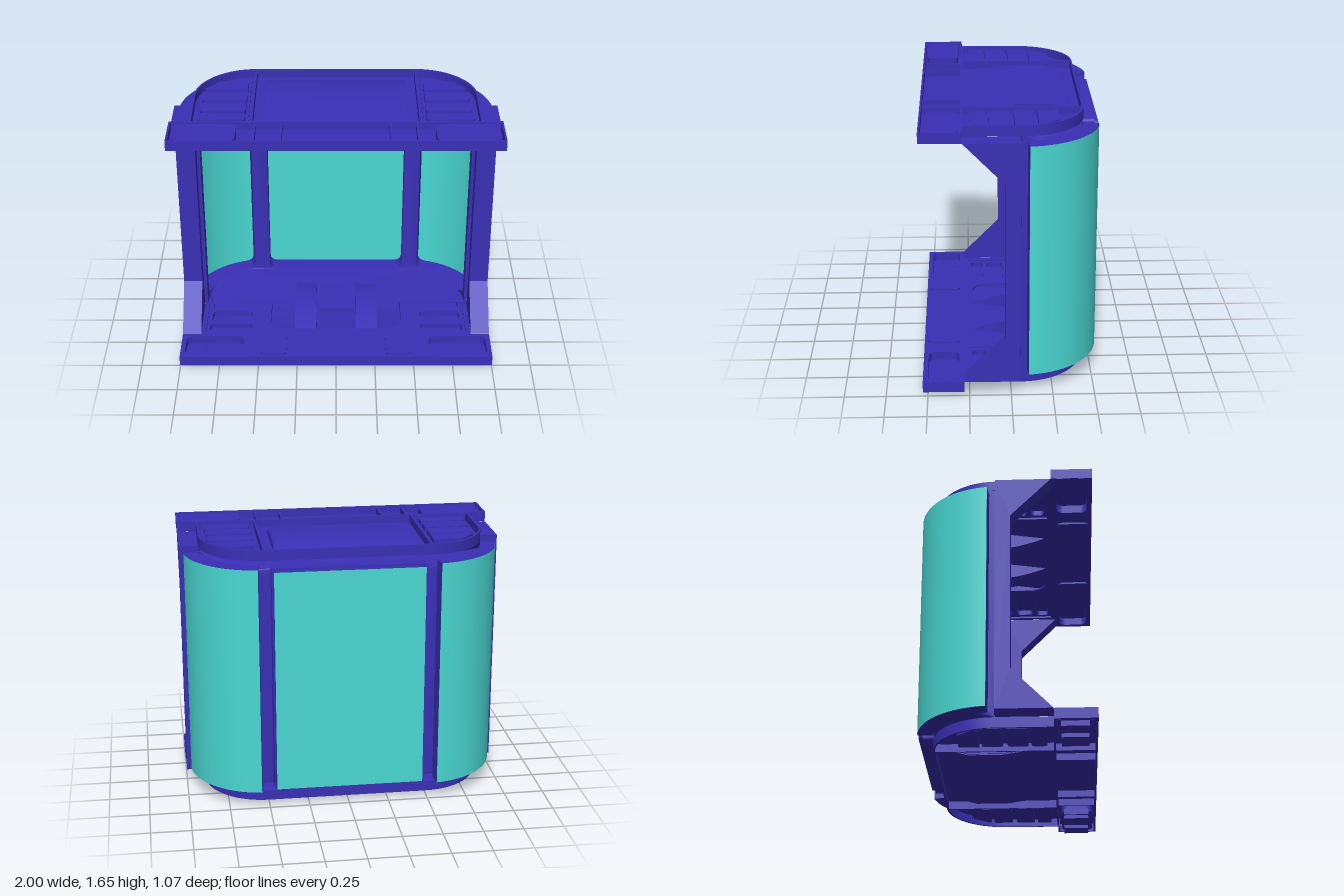
import * as THREE from 'three';
import { toCreasedNormals } from 'three/addons/utils/BufferGeometryUtils.js';

const blue = new THREE.MeshStandardMaterial({ color: 0x3a2fb5, side: THREE.DoubleSide });
const teal = new THREE.MeshStandardMaterial({ color: 0x4ad8d2, side: THREE.DoubleSide });
const R = 0.38, CX = 0.5, CZ = -0.06; // corner radius and centre of the wall path

function add(group, name, geo, mat = blue) {
  const mesh = new THREE.Mesh(geo, mat);
  mesh.name = name;
  group.add(mesh);
  return mesh;
}

function box(group, name, x0, x1, y0, y1, z0, z1) {
  const geo = new THREE.BoxGeometry(Math.abs(x1 - x0), y1 - y0, Math.abs(z1 - z0));
  geo.translate((x0 + x1) / 2, (y0 + y1) / 2, (z0 + z1) / 2);
  return add(group, name, geo);
}

// Rounded rectangle as points, long edges split so that it can be bent
function roundRect(x0, x1, y0, y1, r, n = 1) {
  const pts = [];
  const corners = [[x1 - r, y0 + r, -1], [x1 - r, y1 - r, 0], [x0 + r, y1 - r, 1], [x0 + r, y0 + r, 2]];
  corners.forEach(([cx, cy, q], k) => {
    const steps = r > 0 ? 4 : 0;
    for (let i = 0; i <= steps; i++) {
      const a = (q + (steps ? i / steps : 0)) * Math.PI / 2;
      pts.push([cx + r * Math.cos(a), cy + r * Math.sin(a)]);
    }
    if (k === 1 || k === 3) {
      const y = k === 1 ? y1 : y0, from = k === 1 ? x1 - r : x0 + r, to = k === 1 ? x0 + r : x1 - r;
      for (let i = 1; i < n; i++) pts.push([from + (to - from) * i / n, y]);
    }
  });
  return pts;
}

function extrude(points, holes, depth) {
  const shape = new THREE.Shape(points.map(p => new THREE.Vector2(...p)));
  shape.holes = holes.map(h => new THREE.Path(h.map(p => new THREE.Vector2(...p))));
  return new THREE.ExtrudeGeometry(shape, { depth, bevelEnabled: false });
}

// Horizontal slab from (x, z) points
function slab(points, holes, y0, y1) {
  const flip = list => list.map(([x, z]) => [x, -z]);
  const geo = extrude(flip(points), holes.map(flip), y1 - y0);
  geo.rotateX(-Math.PI / 2).translate(0, y0, 0);
  return toCreasedNormals(geo, 0.5);
}

// Side profile from (z, y) points, stretched from x0 to x1
function profile(points, x0, x1) {
  const geo = extrude(points.map(([z, y]) => [-z, y]), [], x1 - x0);
  geo.rotateY(Math.PI / 2).translate(x0, 0, 0);
  return toCreasedNormals(geo, 0.5);
}

// Wraps a flat panel (x along the wall, -z outward) round the back corners
function bend(geo) {
  const p = geo.attributes.position;
  for (let i = 0; i < p.count; i++) {
    const s = p.getX(i), d = -p.getZ(i), a = Math.max(0, Math.abs(s) - CX) / R;
    const x = a > 0 ? Math.sign(s) * (CX + (R + d) * Math.sin(a)) : s;
    p.setXYZ(i, x, p.getY(i), CZ - (R + d) * Math.cos(a));
  }
  return toCreasedNormals(geo, 0.5);
}

// Wall panel between the distances d0 and d1 outward of the wall face
function wallPanel(points, holes, d0, d1) {
  return bend(extrude(points, holes, d1 - d0).translate(0, 0, -d1));
}

// Plan of a floor plate, inset by i
function plan(i) {
  const pts = [[1 - i, 0.53 - i], [1 - i, 0.28 + i], [0.88 - i, 0.28 + i]];
  for (let k = 0; k <= 14; k++) {
    const a = (k / 14) * Math.PI / 2;
    pts.push([CX + (R - i) * Math.cos(a), CZ - (R - i) * Math.sin(a)]);
  }
  return pts.concat(pts.map(([x, z]) => [-x, z]).reverse());
}

// Sunken tray with thin sides
function well(group, name, pts, y, top) {
  const cx = pts.reduce((s, p) => s + p[0], 0) / pts.length;
  const cz = pts.reduce((s, p) => s + p[1], 0) / pts.length;
  const outer = pts.map(([x, z]) => [x + Math.sign(x - cx) * 0.006, z + Math.sign(z - cz) * 0.006]);
  add(group, name + 'Sides', slab(outer, [pts], y, top));
  add(group, name + 'Bottom', slab(outer, [], y - 0.006, y));
}

function createPlate(name) {
  const g = new THREE.Group();
  g.name = name;
  const holes = [roundRect(-0.43, 0.43, -0.38, 0.22, 0.09)];
  for (const m of [-1, 1]) {
    const mirror = pts => pts.map(([x, z]) => [m * x, z]);
    // Sunken side bays with slots
    const bay = [[0.53, 0.25], [0.85, 0.25]];
    for (let k = 0; k <= 10; k++) {
      const a = (k / 10) * 1.48;
      bay.push([0.5 + 0.35 * Math.cos(a), -0.05 - 0.35 * Math.sin(a)]);
    }
    const slots = [[0.15, 0.23, 0.83], [0.01, 0.12, 0.82], [-0.14, -0.03, 0.82]]
      .map(([z0, z1, x1]) => roundRect(0.555, x1, z0, z1, 0.02));
    slots.push([[0.555, -0.17], [0.8, -0.17], [0.81, -0.19], [0.73, -0.27], [0.71, -0.28], [0.555, -0.28]]);
    holes.push(mirror(bay));
    add(g, 'sideBay', slab(mirror(bay), slots.map(mirror), 0.068, 0.078));
    slots.forEach(s => well(g, 'slot', mirror(s), 0.045, 0.07));
    // Front tray and raised pad
    const tray = mirror(roundRect(0.6, 0.97, 0.31, 0.5, 0.04));
    holes.push(tray);
    well(g, 'frontTray', tray, 0.038, 0.08);
    add(g, 'frontPad', slab(mirror(roundRect(0.32, 0.48, 0.31, 0.51, 0.025)), [], 0.085, 0.102));
    // Stiffening ribs
    box(g, 'lengthRib', m * 0.5, m * 0.512, 0.027, 0.08, 0.28, -0.43);
    box(g, 'frontRib', m * 0.32, m * 0.33, 0.035, 0.08, 0.28, 0.52);
    box(g, 'frontRib', m * 0.48, m * 0.49, 0.035, 0.08, 0.28, 0.52);
  }
  box(g, 'crossRib', -0.88, 0.88, 0.027, 0.08, 0.274, 0.286);
  add(g, 'deck', slab(plan(0.002), holes, 0.078, 0.09));
  add(g, 'rim', slab(plan(0), [plan(0.012)], 0.025, 0.089));

  // Central hollow with two arched rails
  const dip = [[0.22, 0.08], [-0.04, 0.042], [-0.24, 0.042], [-0.38, 0.08]];
  const under = dip.map(([z, y]) => [z, y - 0.006]).reverse();
  add(g, 'hollow', profile([...dip, ...under], -0.43, 0.43));
  const arch = [];
  for (let k = 0; k <= 16; k++) {
    const t = k / 16;
    arch.push([-0.38 + 0.6 * t, 0.085 + 0.065 * Math.sin(Math.PI * t)]);
  }
  for (const m of [-1, 1]) {
    add(g, 'archedRail', profile([...arch, ...dip], m * 0.2 - 0.07, m * 0.2 + 0.07));
    add(g, 'hollowSide', profile([[0.22, 0.085], ...dip, [-0.38, 0.085]], m * 0.433 - 0.003, m * 0.433 + 0.003));
  }
  add(g, 'hollowTab', slab([[-0.115, -0.04], [0.115, -0.04], [0.07, -0.09], [-0.07, -0.09]], [], 0.04, 0.065));
  return g;
}

export function createModel() {
  const model = new THREE.Group();
  model.name = 'windowBay';

  // Floor, and the same plate turned over as ceiling
  model.add(createPlate('floor'));
  const ceiling = createPlate('ceiling');
  ceiling.scale.y = -1;
  ceiling.position.y = 1.68;
  model.add(ceiling);

  // Feet under the floor and the side posts with gussets
  const post = [[0.28, 0.09], [0.035, 0.34], [0.035, 1.34], [0.28, 1.59], [-0.055, 1.59], [-0.055, 0.09]];
  for (const m of [-1, 1]) {
    for (const [a, b] of [[0.56, 0.577], [0.64, 0.78], [0.84, 0.95]])
      box(model, 'foot', m * a, m * b, 0, 0.04, 0.32, 0.48);
    add(model, 'sidePost', profile(post, m * 0.94 - 0.06, m * 0.94 + 0.06));
  }

  // Back wall with three openings
  const side = m => roundRect(m > 0 ? 0.56 : -1.035, m > 0 ? 1.035 : -0.56, 0.14, 1.54, 0.04, 16);
  const centre = roundRect(-0.455, 0.455, 0.14, 1.54, 0.04);
  const wallEnd = CX + R * Math.PI / 2;
  add(model, 'wallFrame', wallPanel(roundRect(-wallEnd, wallEnd, 0.09, 1.59, 0, 64), [side(-1), centre, side(1)], -0.02, 0));
  for (const y of [0.09, 1.575])
    add(model, 'wallLedge', wallPanel(roundRect(-wallEnd, wallEnd, y, y + 0.015, 0, 64), [], -0.045, -0.018));

  // Flat centre window
  add(model, 'centreWindowFrame', wallPanel(roundRect(-0.47, 0.47, 0.12, 1.56, 0.02), [centre], 0, 0.07));
  add(model, 'centreWindowLip', wallPanel(roundRect(-0.46, 0.46, 0.135, 1.545, 0.03), [centre], 0.07, 0.093));
  const flat = new THREE.PlaneGeometry(0.915, 1.405).translate(0, 0.84, -0.095);
  add(model, 'centreWindowPane', bend(flat), teal);

  // Curved corner windows
  for (const m of [-1, 1]) {
    const outline = roundRect(m > 0 ? 0.542 : -1.06, m > 0 ? 1.06 : -0.542, 0.12, 1.56, 0, 16);
    add(model, 'cornerWindowFrame', wallPanel(outline, [side(m)], 0, 0.092));
    const pane = new THREE.PlaneGeometry(0.518, 1.44, 20, 1).translate(m * 0.801, 0.84, -0.095);
    add(model, 'cornerWindowPane', bend(pane), teal);
  }
  return model;
}
